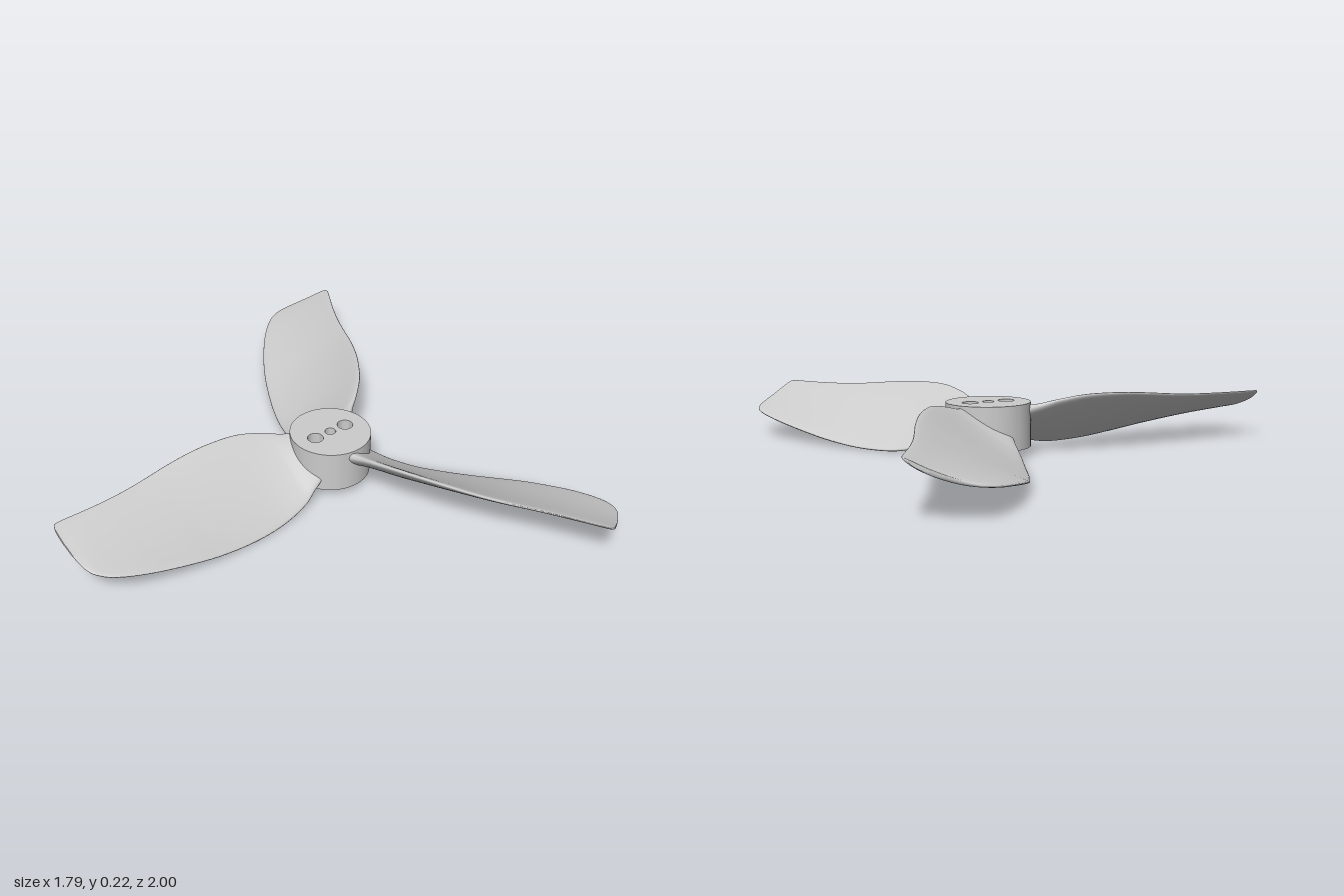
import * as THREE from 'three';
import { toCreasedNormals } from 'three/addons/utils/BufferGeometryUtils.js';

const HUB_X = 0.214, HUB_Z = -0.028, HUB_RADIUS = 0.155;

// Blade stations: radius, high edge z, high edge y, low edge z, low edge y, thickness
const STATIONS = [
  [0.115, -0.100, 0.183, 0.095, 0.074, 0.060],
  [0.16, -0.112, 0.192, 0.110, 0.056, 0.048],
  [0.21, -0.134, 0.207, 0.129, 0.033, 0.038],
  [0.31, -0.166, 0.225, 0.150, 0.012, 0.034],
  [0.41, -0.180, 0.228, 0.165, 0.009, 0.032],
  [0.51, -0.185, 0.224, 0.174, 0.015, 0.031],
  [0.63, -0.181, 0.213, 0.179, 0.031, 0.029],
  [0.72, -0.172, 0.204, 0.177, 0.047, 0.028],
  [0.82, -0.162, 0.198, 0.167, 0.064, 0.026],
  [0.92, -0.157, 0.195, 0.150, 0.081, 0.024],
  [1.02, -0.157, 0.194, 0.118, 0.097, 0.022],
  [1.07, -0.157, 0.194, 0.083, 0.107, 0.020],
  [1.095, -0.155, 0.193, 0.040, 0.117, 0.019],
  [1.105, -0.149, 0.191, -0.020, 0.136, 0.017],
  [1.109, -0.137, 0.186, -0.070, 0.155, 0.013],
];

// Smooth interpolation between neighbouring stations
function station(i, f) {
  const at = (k) => STATIONS[Math.min(Math.max(k, 0), STATIONS.length - 1)];
  const [a, b, c, d] = [at(i - 1), at(i), at(i + 1), at(i + 2)];
  const slope = (p, q, k) => (q[k] - p[k]) / (q[0] - p[0]);
  const span = c[0] - b[0];
  const f2 = f * f, f3 = f2 * f;
  return b.map((_, k) => (k === 0 ? b[0] + span * f :
    (2 * f3 - 3 * f2 + 1) * b[k] + (f3 - 2 * f2 + f) * span * slope(a, c, k) +
    (3 * f2 - 2 * f3) * c[k] + (f3 - f2) * span * slope(b, d, k)));
}

// Twisted blade with blunt edges and a hollow upper face, lofted along -x
function bladeGeometry() {
  const N = 48, STEPS = 4, SAG = 0.045;
  const sections = [];
  for (let i = 0; i < STATIONS.length - 1; i++) {
    for (let s = 0; s < STEPS; s++) sections.push(station(i, s / STEPS));
  }
  sections.push(STATIONS[STATIONS.length - 1]);

  const pos = [], index = [];
  const ring = ([r, zh, yh, zl, yl, th]) => {
    const chord = Math.hypot(zl - zh, yl - yh);
    const nz = (yh - yl) / chord, ny = (zl - zh) / chord;
    for (let j = 0; j < N; j++) {
      const a = (j / N) * Math.PI * 2;
      const t = (1 - Math.cos(a)) / 2;
      const bulge = Math.sign(Math.sin(a)) * Math.abs(Math.sin(a)) ** 0.75;
      const off = (th / 2) * bulge - SAG * chord * 4 * t * (1 - t);
      pos.push(-r, yh + (yl - yh) * t + ny * off, zh + (zl - zh) * t + nz * off);
    }
  };
  sections.forEach(ring);
  for (let i = 0; i < sections.length - 1; i++) {
    for (let j = 0; j < N; j++) {
      const a = i * N + j, b = i * N + ((j + 1) % N);
      index.push(a, a + N, b, b, a + N, b + N);
    }
  }
  // Tip cap
  const tip = sections[sections.length - 1];
  const start = pos.length / 3;
  ring(tip);
  const centre = pos.length / 3;
  pos.push(-tip[0], (tip[2] + tip[4]) / 2, (tip[1] + tip[3]) / 2);
  for (let j = 0; j < N; j++) index.push(centre, start + ((j + 1) % N), start + j);

  const geo = new THREE.BufferGeometry();
  geo.setAttribute('position', new THREE.Float32BufferAttribute(pos, 3));
  geo.setIndex(index);
  geo.computeVertexNormals();
  return geo;
}

// Round hub with a shaft hole and two screw holes
function hubGeometry() {
  const shape = new THREE.Shape().absarc(0, 0, HUB_RADIUS, 0, Math.PI * 2, false);
  for (const [x, r] of [[-0.072, 0.03], [0, 0.021], [0.072, 0.03]]) {
    shape.holes.push(new THREE.Path().absarc(x, 0, r, 0, Math.PI * 2, true));
  }
  const geo = new THREE.ExtrudeGeometry(shape, { depth: 0.163, bevelEnabled: false, curveSegments: 48 });
  geo.rotateX(-Math.PI / 2);
  geo.translate(0, 0.038, 0);
  return toCreasedNormals(geo, 0.6);
}

export function createModel() {
  const material = new THREE.MeshStandardMaterial({ color: 0xcccccc });
  const model = new THREE.Group();
  model.name = 'propeller';

  const rotor = new THREE.Group();
  rotor.name = 'rotor';
  rotor.position.set(HUB_X, 0, HUB_Z);
  model.add(rotor);

  const hub = new THREE.Mesh(hubGeometry(), material);
  hub.name = 'hub';
  rotor.add(hub);

  // Three blades evenly spaced around the hub
  const geo = bladeGeometry();
  for (let i = 0; i < 3; i++) {
    const blade = new THREE.Mesh(geo, material);
    blade.name = `blade${i + 1}`;
    blade.rotation.y = (i * Math.PI * 2) / 3;
    rotor.add(blade);
  }
  return model;
}
